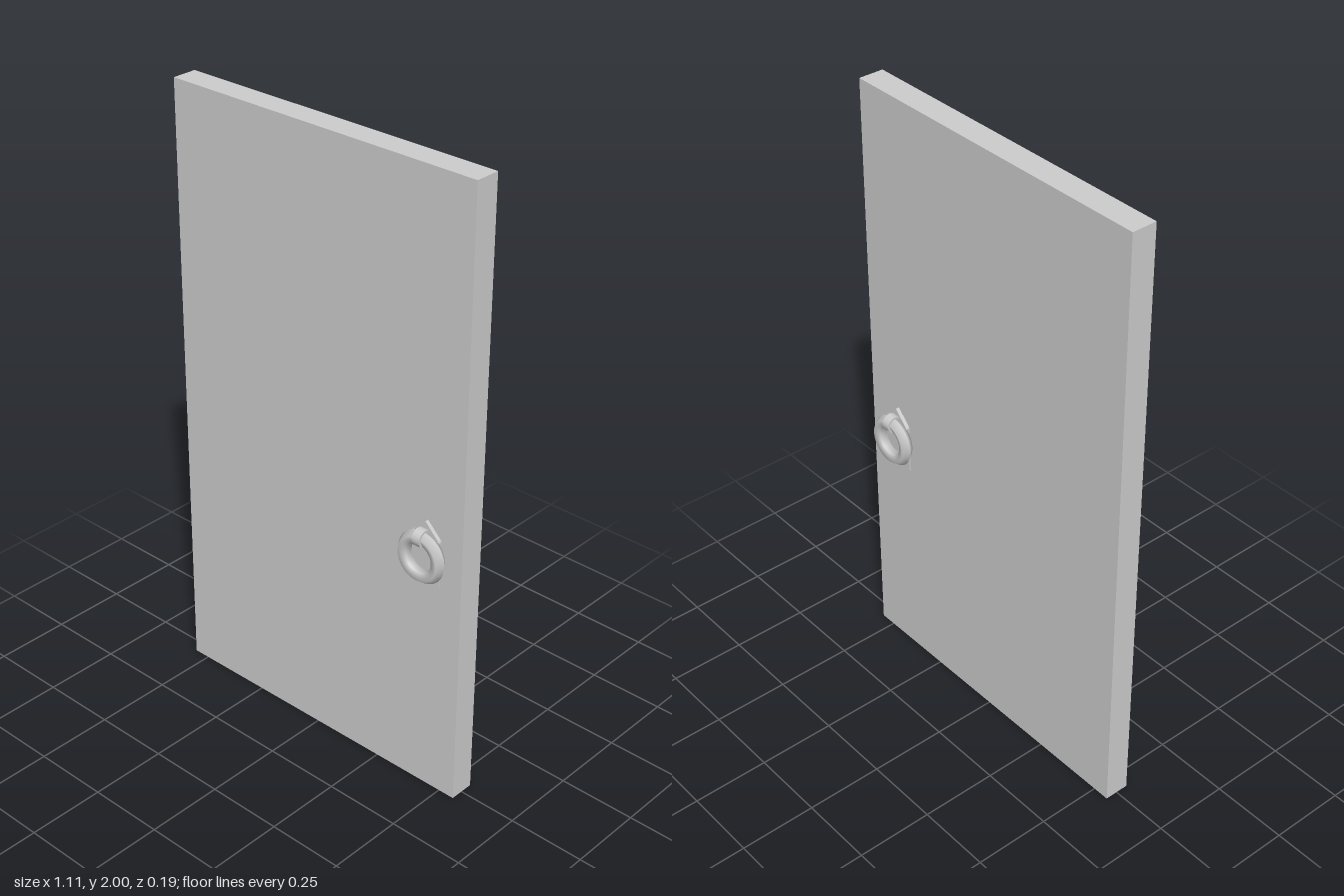
import * as THREE from 'three';

const grey = new THREE.MeshStandardMaterial({ color: 0xcccccc });
grey.name = 'plain grey';

function part(name, geometry, x = 0, y = 0, z = 0) {
  const mesh = new THREE.Mesh(geometry, grey);
  mesh.name = name;
  mesh.position.set(x, y, z);
  return mesh;
}

// One ring handle with its backing plates, facing +z, origin at the ring centre height
function createHandle(name) {
  const handle = new THREE.Group();
  handle.name = name;

  // Backing plate: a thin lower strip and a slightly thicker upper part
  handle.add(part('lowerPlate', new THREE.BoxGeometry(0.1, 0.06, 0.01), 0, -0.071, 0.041));
  handle.add(part('upperPlate', new THREE.BoxGeometry(0.1, 0.106, 0.014), 0, 0.011, 0.042));

  // Diamond boss behind the clasp
  const boss = part('diamondBoss', new THREE.BoxGeometry(0.073, 0.073, 0.017), 0, 0.06, 0.0445);
  boss.rotation.z = Math.PI / 4;
  handle.add(boss);

  // Pull ring with a five-sided section, its ridge on the outside
  handle.add(part('pullRing', new THREE.TorusGeometry(0.064, 0.0215, 5, 32), 0, 0, 0.068));

  // Clasp: a band wrapped round the top of the ring
  const band = new THREE.Shape().absarc(0, 0, 0.028, 0, Math.PI * 2, false);
  band.holes.push(new THREE.Path().absarc(0, 0, 0.021, 0, Math.PI * 2, true));
  const bandGeometry = new THREE.ExtrudeGeometry(band, { depth: 0.028, bevelEnabled: false, curveSegments: 12 });
  bandGeometry.translate(0, 0, -0.014).rotateY(Math.PI / 2);
  handle.add(part('clasp', bandGeometry, 0, 0.065, 0.068));

  return handle;
}

export function createModel() {
  const model = new THREE.Group();
  model.name = 'door';

  // Door slab
  model.add(part('doorPanel', new THREE.BoxGeometry(1.11, 2, 0.082), 0, 1, 0));

  // Matching handles on both faces
  for (const [name, turn] of [['frontHandle', 0], ['backHandle', Math.PI]]) {
    const handle = createHandle(name);
    handle.position.set(0.427, 0.825, 0);
    handle.rotation.y = turn;
    model.add(handle);
  }
  return model;
}
